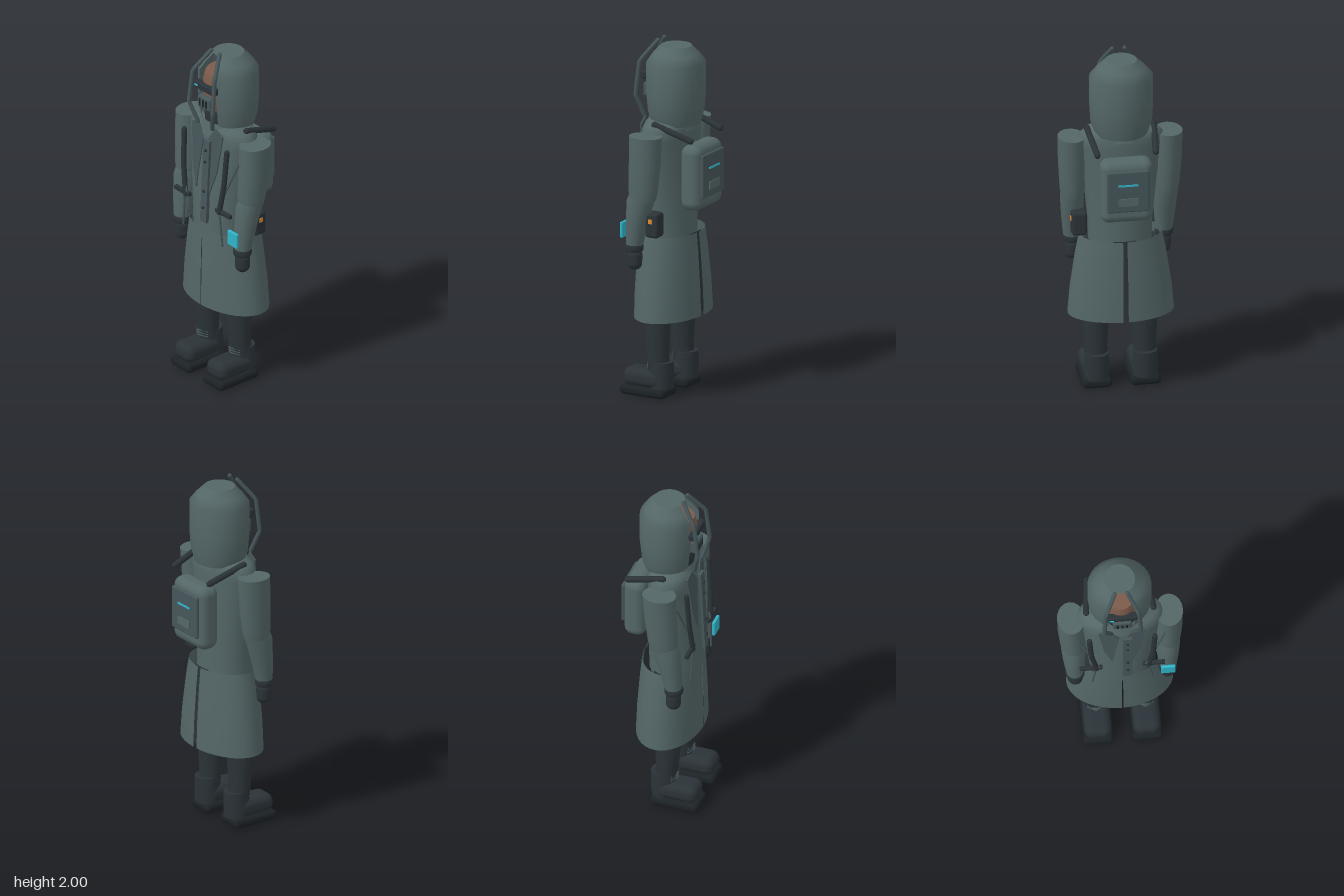
import * as THREE from 'three';
import { RoundedBoxGeometry } from 'three/addons/geometries/RoundedBoxGeometry.js';

const mat = (color, side = THREE.FrontSide) => new THREE.MeshStandardMaterial({ color, side });
const COAT = mat(0x546667), OPEN = mat(0x546667, THREE.DoubleSide), TRIM = mat(0x46565a);
const DARK = mat(0x2b3338), BLACK = mat(0x1c2225), SKIN = mat(0x7d5c4b);
const CYAN = mat(0x2fb4c8), ORANGE = mat(0xe08a2c);

// Skin over oval rings [y, centreX, centreZ, radiusX, radiusZ], listed bottom to top; angle 0 is the front
function loft(rings, { seg = 24, from = 0, to = Math.PI * 2, caps = false } = {}) {
  if (caps) {
    const a = rings[0], b = rings[rings.length - 1];
    rings = [[a[0], a[1], a[2], 0, 0], a, ...rings, b, [b[0], b[1], b[2], 0, 0]];
  }
  const closed = to - from > 6.28, cols = closed ? seg : seg + 1;
  const pos = [], idx = [];
  rings.forEach(([y, cx, cz, rx, rz], i) => {
    for (let j = 0; j < cols; j++) {
      const t = from + (to - from) * j / seg;
      pos.push(cx + rx * Math.sin(t), y, cz + rz * Math.cos(t));
    }
    if (!i) return;
    for (let j = 0; j < seg; j++) {
      const k = (j + 1) % cols, p = (i - 1) * cols, q = i * cols;
      idx.push(p + j, p + k, q + j, p + k, q + k, q + j);
    }
  });
  const g = new THREE.BufferGeometry();
  g.setAttribute('position', new THREE.Float32BufferAttribute(pos, 3));
  g.setIndex(idx);
  g.computeVertexNormals();
  return g;
}

export function createModel() {
  const model = new THREE.Group();
  const add = (name, geo, m, x = 0, y = 0, z = 0, parent = model) => {
    const mesh = new THREE.Mesh(geo, m);
    mesh.name = name;
    mesh.position.set(x, y, z);
    parent.add(mesh);
    return mesh;
  };
  const box = (name, m, w, h, d, x, y, z, r = 0) => add(name,
    r ? new RoundedBoxGeometry(w, h, d, 3, r) : new THREE.BoxGeometry(w, h, d), m, x, y, z);
  // Round bar through a few points
  const bar = (name, m, r, ...pts) => {
    const path = new THREE.CurvePath(), v = pts.map(p => new THREE.Vector3(...p));
    for (let i = 1; i < v.length; i++) path.add(new THREE.LineCurve3(v[i - 1], v[i]));
    add(name, new THREE.TubeGeometry(path, (v.length - 1) * 6, r, 8), m);
    for (const p of [v[0], v[v.length - 1]]) add(name + 'End', new THREE.SphereGeometry(r, 8, 6), m, p.x, p.y, p.z);
  };

  // Jacket body, collar and neck
  add('jacket', loft([
    [0.86, 0, 0.043, 0.175, 0.147], [1.0, 0, 0.043, 0.18, 0.147], [1.25, 0, 0.04, 0.205, 0.142],
    [1.46, 0, 0.033, 0.235, 0.132], [1.51, 0, 0.03, 0.235, 0.128], [1.54, 0, 0.03, 0.2, 0.12],
    [1.57, 0, 0.03, 0.12, 0.1],
  ], { caps: true }), COAT);
  add('collar', loft([[1.5, 0, 0.03, 0.16, 0.135], [1.575, 0, 0.03, 0.125, 0.115]]), OPEN);
  add('neckGaiter', loft([[1.5, 0, 0.03, 0.1, 0.1], [1.6, 0, 0.03, 0.1, 0.115], [1.64, 0, 0.03, 0.09, 0.105]], { caps: true }), DARK);

  // Skirt in two halves, seamed at the front and vented at the back
  for (const s of [0, 1]) {
    const from = s ? Math.PI + 0.05 : 0.012, to = s ? Math.PI * 2 - 0.012 : Math.PI - 0.05;
    add('skirtPanel', loft([
      [0.45, 0, 0.017, 0.295, 0.183], [0.6, 0, 0.019, 0.282, 0.18],
      [0.8, 0, 0.023, 0.252, 0.171], [0.92, 0, 0.026, 0.228, 0.163],
    ], { from, to, seg: 18 }), OPEN);
  }
  add('skirtLining', loft([[0.47, 0, 0.017, 0.28, 0.17], [0.92, 0, 0.026, 0.215, 0.152]],
    { from: Math.PI - 0.3, to: Math.PI + 0.3, seg: 6 }), mat(0x2b3338, THREE.DoubleSide));

  // Button placket
  const placket = box('placket', TRIM, 0.05, 0.5, 0.02, 0.028, 1.23, 0.186);
  placket.rotation.x = -0.05;
  for (const y of [1.42, 1.35, 1.17, 1.07]) {
    const b = add('button', new THREE.CylinderGeometry(0.008, 0.008, 0.012, 10), DARK, 0.028, y, 0.198 - (y - 1.23) * 0.05);
    b.rotation.x = Math.PI / 2;
  }

  // Hood shell with an open front and a closed crown
  add('hood', loft([
    [1.53, 0, 0, 0.145, 0.135], [1.6, 0, 0, 0.17, 0.15], [1.7, 0, 0, 0.176, 0.16],
    [1.87, 0, 0, 0.176, 0.16], [1.92, 0, 0, 0.132, 0.127], [1.965, 0, 0, 0.085, 0.085],
  ], { from: 0.42, to: Math.PI * 2 - 0.42, seg: 28 }), OPEN);
  add('hoodCrown', new THREE.CircleGeometry(0.086, 28), OPEN, 0, 1.965, 0).rotation.x = -Math.PI / 2;

  // Face, goggles and respirator
  add('head', loft([
    [1.61, 0, 0.03, 0.05, 0.08], [1.65, 0, 0.03, 0.085, 0.115], [1.72, 0, 0.03, 0.1, 0.13],
    [1.82, 0, 0.03, 0.1, 0.13], [1.87, 0, 0.03, 0.088, 0.115],
  ], { caps: true }), SKIN);
  box('goggles', DARK, 0.17, 0.045, 0.04, 0, 1.79, 0.16, 0.012);
  box('goggleLight', CYAN, 0.025, 0.008, 0.006, -0.06, 1.792, 0.182);
  box('respirator', TRIM, 0.105, 0.08, 0.045, 0, 1.7, 0.16, 0.014);
  for (const x of [-0.026, 0, 0.026]) box('respiratorSlot', BLACK, 0.011, 0.042, 0.006, x, 1.7, 0.183);

  // Lapel outline, half of the chest
  const lapel = s => {
    const p = [[0.015, 1.47], [0.07, 1.56], [0.13, 1.53], [0.1, 1.3], [0.055, 1.16]];
    if (s < 0) p.reverse();
    const shape = new THREE.Shape(p.map(([x, y]) => new THREE.Vector2(s * x, y - 1.3)));
    return new THREE.ExtrudeGeometry(shape, { depth: 0.008, bevelEnabled: false });
  };

  for (const s of [-1, 1]) {
    // Hood rim
    bar('hoodRim', TRIM, 0.012, [s * 0.035, 1.988, 0.095], [s * 0.092, 1.87, 0.18], [s * 0.1, 1.68, 0.2], [s * 0.06, 1.56, 0.168]);

    add('lapel', lapel(s), TRIM, 0, 1.3, 0.176).rotation.set(-0.07, s * 0.12, 0);

    // Sleeve, cuff and glove
    add('upperSleeve', loft([
      [1.14, s * 0.262, 0.06, 0.062, 0.075], [1.19, s * 0.262, 0.058, 0.07, 0.085], [1.35, s * 0.266, 0.045, 0.077, 0.092],
      [1.505, s * 0.27, 0.038, 0.076, 0.095],
    ], { caps: true, seg: 20 }), COAT);
    add('forearmSleeve', loft([
      [0.86, s * 0.255, 0.118, 0.046, 0.046], [1.0, s * 0.257, 0.1, 0.06, 0.062],
      [1.13, s * 0.261, 0.075, 0.066, 0.08], [1.19, s * 0.262, 0.06, 0.058, 0.07],
    ], { caps: true, seg: 20 }), COAT);
    add('cuff', loft([
      [0.84, s * 0.255, 0.118, 0.046, 0.046], [0.852, s * 0.255, 0.118, 0.052, 0.052],
      [0.872, s * 0.255, 0.118, 0.052, 0.052], [0.885, s * 0.255, 0.116, 0.046, 0.046],
    ], { caps: true, seg: 20 }), DARK);
    add('glove', new THREE.CapsuleGeometry(0.042, 0.04, 6, 16), DARK, s * 0.253, 0.795, 0.115);

    // Harness over the shoulder and down the chest
    bar('shoulderStrap', DARK, 0.018, [s * 0.185, 1.55, 0.03], [s * 0.162, 1.48, -0.185]);
    bar('chestStrap', DARK, 0.015, [s * 0.18, 1.46, 0.165], [s * 0.17, 1.25, 0.178], [s * 0.142, 1.08, 0.188]);
    bar('strapEdge', TRIM, 0.006, [s * 0.24, 1.4, 0.13], [s * 0.13, 1.1, 0.19]);
    bar('strapTail', TRIM, 0.006, [s * 0.145, 1.08, 0.19], [s * 0.165, 0.88, 0.185]);
    box('strapBuckle', DARK, 0.125, 0.025, 0.022, s * 0.172, 1.085, 0.183, 0.005);

    // Leg, boot and laces
    add('leg', loft([
      [0.14, s * 0.135, 0.03, 0.064, 0.06], [0.24, s * 0.135, 0.038, 0.064, 0.062],
      [0.45, s * 0.135, 0.043, 0.077, 0.077], [0.88, s * 0.11, 0.04, 0.085, 0.085],
    ], { caps: true, seg: 20 }), DARK);
    add('bootShaft', loft([
      [0.05, s * 0.135, 0.012, 0.07, 0.062], [0.12, s * 0.135, 0.012, 0.072, 0.066], [0.2, s * 0.135, 0.012, 0.066, 0.066],
    ], { caps: true, seg: 20 }), DARK);
    box('bootFoot', DARK, 0.15, 0.105, 0.25, s * 0.135, 0.1, 0.104, 0.045);
    box('bootSole', BLACK, 0.165, 0.055, 0.28, s * 0.135, 0.0275, 0.1, 0.024);
    for (const y of [0.165, 0.18, 0.195])
      bar('lace', TRIM, 0.004, [s * 0.135 - 0.045, y, 0.075], [s * 0.135, y + 0.006, 0.101], [s * 0.135 + 0.045, y, 0.075]);
  }

  // Wrist screen and hip pouch
  box('wristScreen', CYAN, 0.08, 0.09, 0.018, 0.252, 0.957, 0.181, 0.006);
  box('hipPouch', DARK, 0.085, 0.14, 0.08, 0.235, 1.0, 0.002, 0.018);
  box('pouchLight', ORANGE, 0.008, 0.025, 0.022, 0.278, 1.025, 0.004);

  // Backpack
  box('backpack', COAT, 0.29, 0.37, 0.125, 0, 1.255, -0.16, 0.05);
  box('backpackPanel', TRIM, 0.235, 0.245, 0.02, 0, 1.27, -0.229, 0.009);
  box('backpackLight', CYAN, 0.11, 0.01, 0.006, 0, 1.31, -0.241);
  box('backpackLabel', COAT, 0.11, 0.045, 0.008, 0, 1.21, -0.24);
  return model;
}
